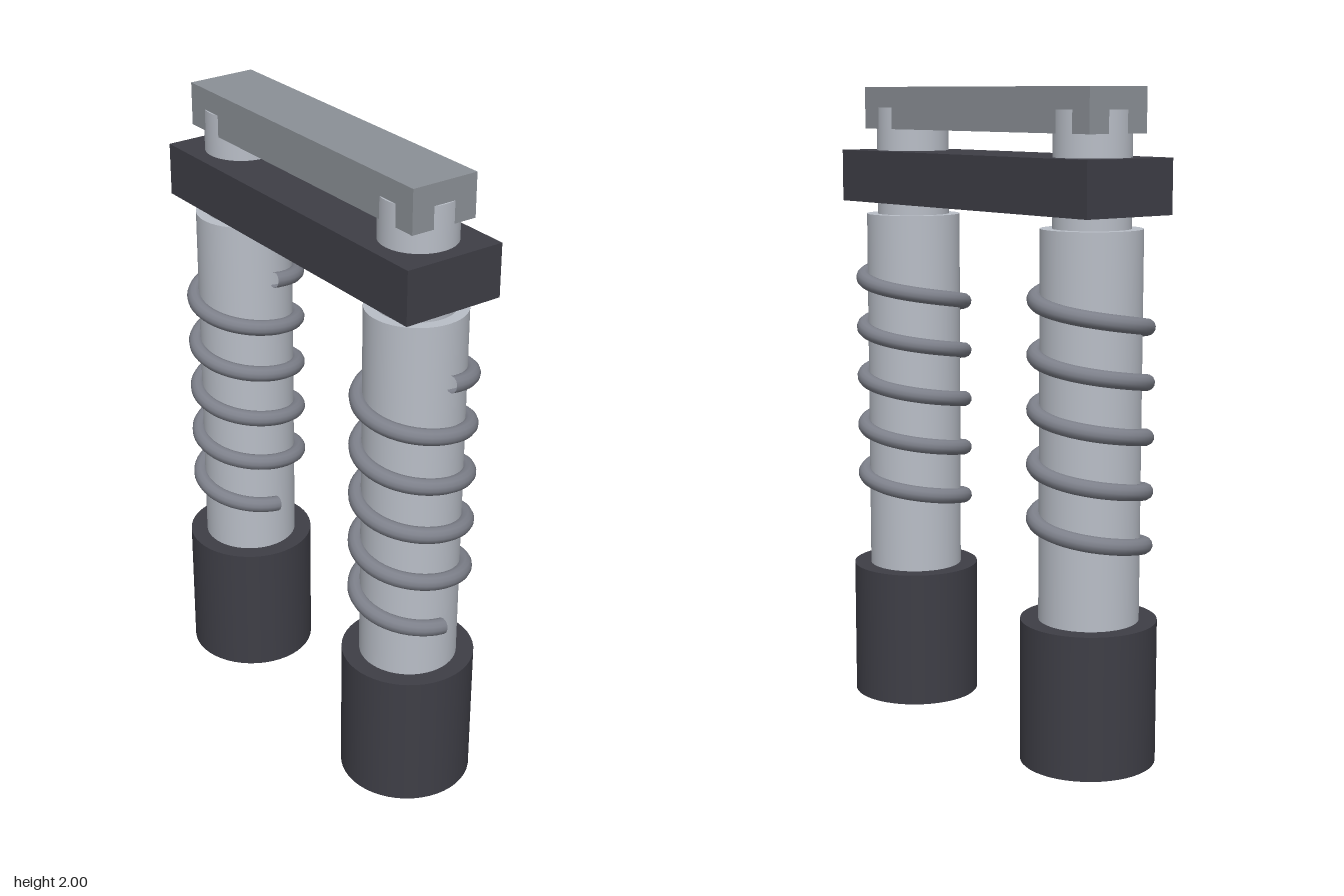
import * as THREE from 'three';

const mat = (name, color, side = THREE.FrontSide) => {
  const m = new THREE.MeshStandardMaterial({ color, side });
  m.name = name;
  return m;
};

// Helix that starts on the +x side and climbs by way of +z
class Helix extends THREE.Curve {
  constructor(radius, bottom, top, turns) {
    super();
    Object.assign(this, { radius, bottom, top, turns });
  }
  getPoint(t, target = new THREE.Vector3()) {
    const a = t * this.turns * Math.PI * 2;
    return target.set(
      this.radius * Math.cos(a),
      this.bottom + t * (this.top - this.bottom),
      this.radius * Math.sin(a)
    );
  }
}

export function createModel() {
  const model = new THREE.Group();
  model.name = 'forkSuspension';

  const steel = mat('lightSteel', 0xb9bec7);
  const grey = mat('barGrey', 0x8b9096);
  const dark = mat('darkMetal', 0x3e3e46);
  const spring = mat('springGrey', 0x7d808a, THREE.DoubleSide);

  const add = (parent, name, geometry, material) => {
    const mesh = new THREE.Mesh(geometry, material);
    mesh.name = name;
    parent.add(mesh);
  };
  const cylinder = (r, y0, y1) =>
    new THREE.CylinderGeometry(r, r, y1 - y0, 48).translate(0, (y0 + y1) / 2, 0);
  const box = (w, d, y0, y1) =>
    new THREE.BoxGeometry(w, y1 - y0, d).translate(0, (y0 + y1) / 2, 0);

  // Two identical legs
  for (const [name, x] of [['leftLeg', 0.436], ['rightLeg', -0.436]]) {
    const leg = new THREE.Group();
    leg.name = name;
    leg.position.x = x;
    add(leg, 'foot', cylinder(0.204, 0, 0.437), dark);
    add(leg, 'outerTube', cylinder(0.15, 0.43, 1.597), steel);
    add(leg, 'innerTube', cylinder(0.115, 1.58, 1.935), steel);
    add(leg, 'coilSpring',
      new THREE.TubeGeometry(new Helix(0.163, 0.604, 1.415, 5), 240, 0.025, 12), spring);
    model.add(leg);
  }

  // Cross pieces joining the legs
  add(model, 'clampPlate', box(1.196, 0.326, 1.637, 1.8), dark);
  add(model, 'topBar', box(1.09, 0.218, 1.868, 2), grey);

  return model;
}
